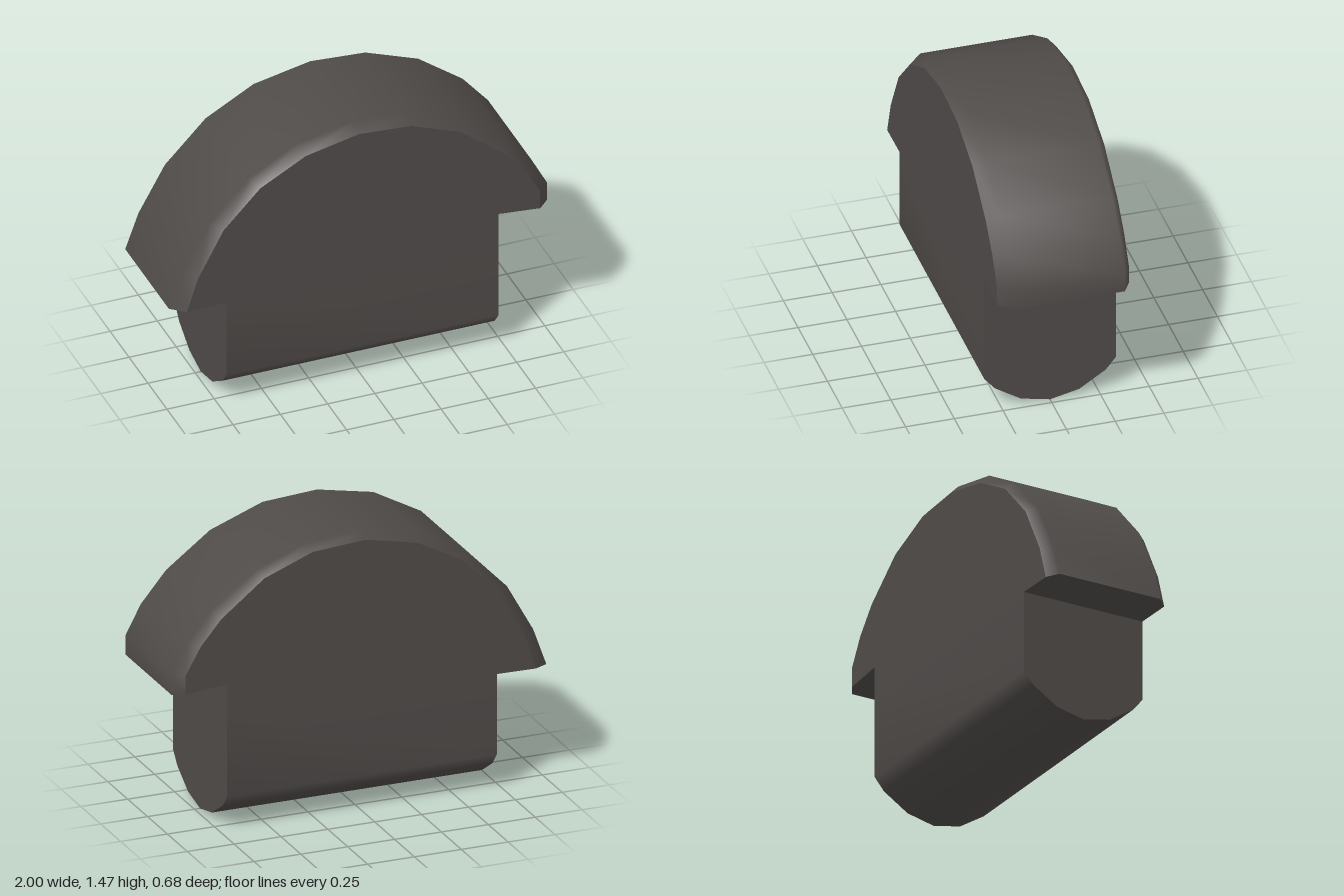
import * as THREE from 'three';

const D = 0.338; // half depth
const W = 0.72;  // half width of the stem
const RIM_FRONT = 0.275, RIM_BACK = -0.30; // where the rim chamfers start

// Arched outline, left to right: rim edge and the smaller edge of the flat faces
const outer = [[-1, 0.605], [-0.93, 0.8], [-0.79, 1.05], [-0.575, 1.27], [-0.32, 1.41], [-0.02, 1.47],
  [0.27, 1.45], [0.55, 1.345], [0.785, 1.17], [0.92, 1.01], [1, 0.86], [1, 0.755]];
const inner = [[-0.93, 0.607], [-0.87, 0.79], [-0.735, 1.04], [-0.54, 1.24], [-0.3, 1.37], [-0.02, 1.43],
  [0.26, 1.41], [0.52, 1.31], [0.75, 1.13], [0.86, 1.0], [0.94, 0.86], [0.94, 0.76]];

// Rounded keel section as [z, y], from front top down and round to back top
const keel = [[D, 0.61], [D, 0.185], [0.285, 0.12], [0.15, 0.033], [0, 0],
  [-0.15, 0.033], [-0.285, 0.12], [-D, 0.185], [-D, 0.61]];

function buffer(points, index) {
  const g = new THREE.BufferGeometry();
  g.setAttribute('position', new THREE.Float32BufferAttribute(points.flat(), 3));
  g.setIndex(index);
  g.computeVertexNormals();
  return g;
}

// Smooth skin over rows of points
function skin(rows) {
  const n = rows[0].length, index = [];
  for (let i = 0; i < rows.length - 1; i++) {
    for (let j = 0; j < n - 1; j++) {
      const a = i * n + j, b = a + n;
      index.push(a, b, b + 1, a, b + 1, a + 1);
    }
  }
  return buffer(rows.flat(), index);
}

// Flat convex polygon
function polygon(points) {
  const index = [];
  for (let i = 1; i < points.length - 1; i++) index.push(0, i, i + 1);
  return buffer(points, index);
}

export function createModel() {
  const group = new THREE.Group();
  const charcoal = new THREE.MeshStandardMaterial({ color: 0x4f4b49 });
  charcoal.name = 'charcoal';
  const add = (name, geometry) => {
    const mesh = new THREE.Mesh(geometry, charcoal);
    mesh.name = name;
    group.add(mesh);
  };

  // Chamfered arched rim
  add('archRim', skin(outer.map(([x, y], i) => {
    const [u, v] = inner[i];
    return [[u, v, D], [x, y, RIM_FRONT], [x, y, RIM_BACK], [u, v, -D]];
  })));

  // Flat front and back of the arch
  const outline = [...inner, [W, 0.78], [W, 0.61], [-W, 0.61]].map(([x, y]) => new THREE.Vector2(x, y));
  const front = new THREE.ShapeGeometry(new THREE.Shape(outline)).translate(0, 0, D);
  const back = front.clone().scale(1, 1, -1);
  back.setIndex(Array.from(front.index.array).reverse());
  add('archFront', front);
  add('archBack', back);

  // Undersides of the two overhangs
  add('rightOverhang', polygon([[-1, 0.605, RIM_BACK], [-0.93, 0.607, -D], [-W, 0.61, -D],
    [-W, 0.61, D], [-0.93, 0.607, D], [-1, 0.605, RIM_FRONT]]));
  add('leftOverhang', polygon([[W, 0.78, -D], [0.94, 0.76, -D], [1, 0.755, RIM_BACK],
    [1, 0.755, RIM_FRONT], [0.94, 0.76, D], [W, 0.78, D]]));

  // Stem with a rounded bottom
  add('stem', skin(keel.map(([z, y]) => [[-W, y, z], [W, y, z]])));
  const end = (x, top) => keel.map(([z, y]) => [x, y === 0.61 ? top : y, z]);
  add('stemLeftEnd', polygon(end(W, 0.78)));
  add('stemRightEnd', polygon(end(-W, 0.61).reverse()));

  return group;
}
